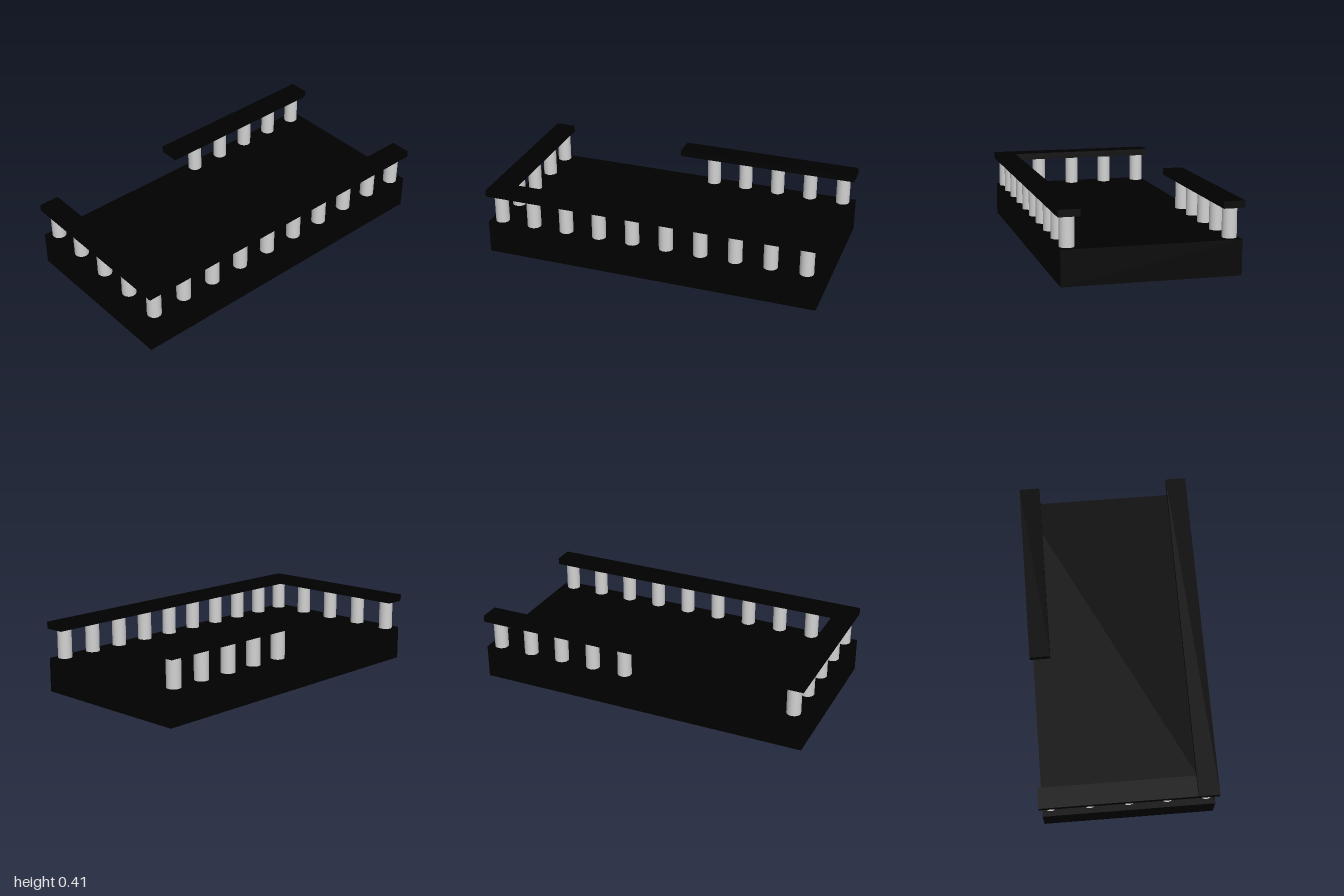
import * as THREE from 'three';

export function createModel() {
  const model = new THREE.Group();
  const black = new THREE.MeshStandardMaterial({ color: 0x000000 });
  black.name = 'black';
  const paleGrey = new THREE.MeshStandardMaterial({ color: 0xd2d2d2 });
  paleGrey.name = 'paleGrey';

  // Box given by its lower and upper limits on each axis
  function addBox(name, [x0, x1], [y0, y1], [z0, z1]) {
    const mesh = new THREE.Mesh(new THREE.BoxGeometry(x1 - x0, y1 - y0, z1 - z0), black);
    mesh.name = name;
    mesh.position.set((x0 + x1) / 2, (y0 + y1) / 2, (z0 + z1) / 2);
    model.add(mesh);
  }

  const floorY = 0.2, railY = [0.372, 0.412];

  // Floor slab
  addBox('floorSlab', [-1, 1], [0, floorY], [-0.5, 0.5]);

  // Handrails: full front, one side, and half of the back
  addBox('frontRail', [-1, 1], railY, [0.391, 0.512]);
  addBox('sideRail', [-1, -0.88], railY, [-0.512, 0.389]);
  addBox('backRail', [-0.1, 1], railY, [-0.512, -0.391]);

  // Balusters
  const height = railY[0] - floorY;
  const balusterGeometry = new THREE.CylinderGeometry(0.041, 0.041, height, 32);
  const balusters = new THREE.Group();
  balusters.name = 'balusters';
  model.add(balusters);

  function addBaluster(name, x, z) {
    const mesh = new THREE.Mesh(balusterGeometry, paleGrey);
    mesh.name = name;
    mesh.position.set(x, floorY + height / 2, z);
    balusters.add(mesh);
  }

  for (let i = 0; i < 10; i++) {
    const x = -0.93 + i * 0.2064;
    addBaluster('frontBaluster', x, 0.45);
    if (i >= 5) addBaluster('backBaluster', x, -0.45);
  }
  // The front row already fills the shared corner
  for (let i = 0; i < 4; i++) addBaluster('sideBaluster', -0.93, -0.45 + i * 0.225);

  return model;
}
